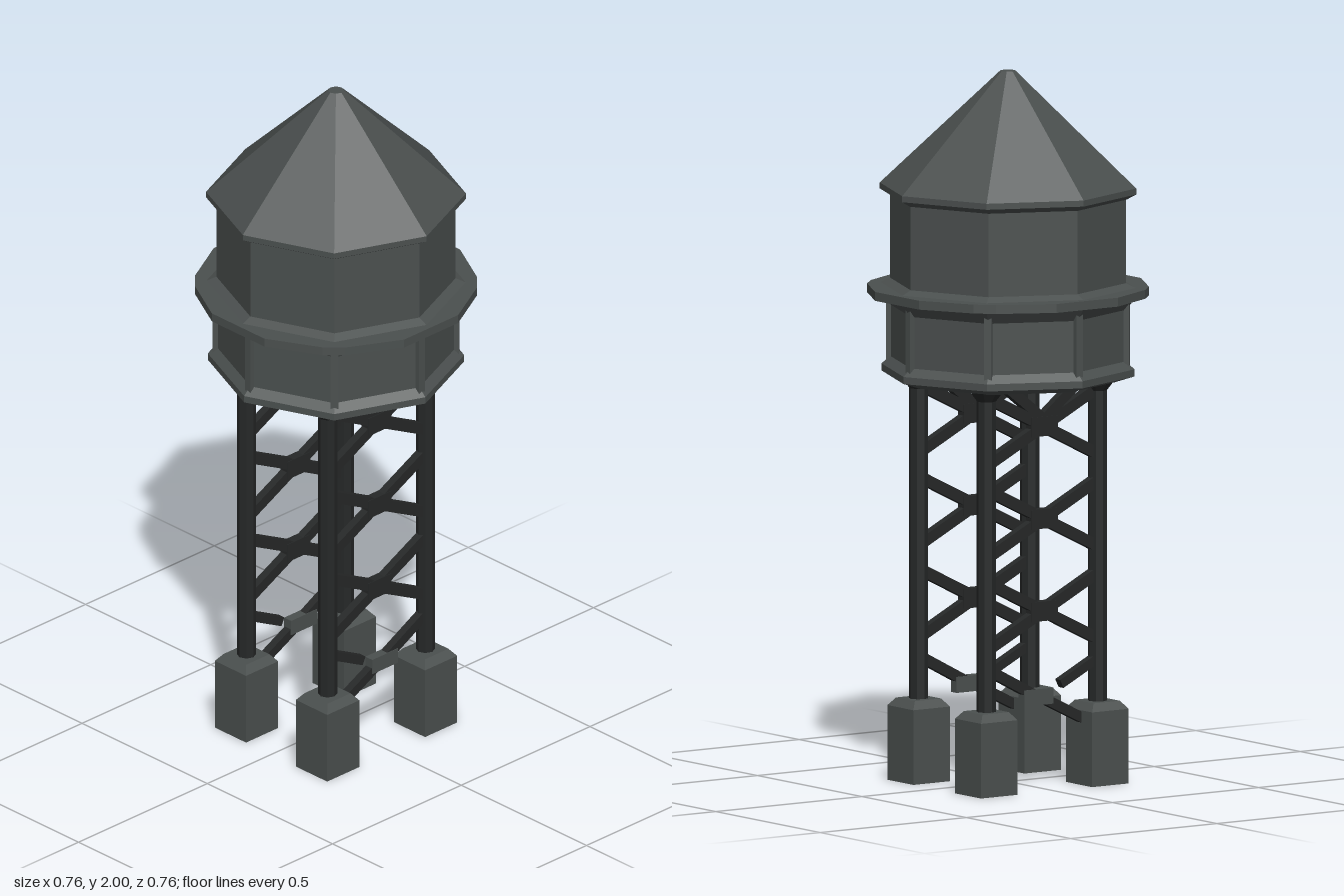
import * as THREE from 'three';

const paint = (color) => new THREE.MeshStandardMaterial({ color, flatShading: true });
const tankPaint = paint(0x4b504f);
const steelPaint = paint(0x262828);

function add(parent, name, geometry, material, x = 0, y = 0, z = 0) {
  const mesh = new THREE.Mesh(geometry, material);
  mesh.name = name;
  mesh.position.set(x, y, z);
  parent.add(mesh);
  return mesh;
}

// Eight-sided solid from [radius, height] pairs, listed bottom to top
const octagon = (profile) =>
  new THREE.LatheGeometry(profile.map(([r, y]) => new THREE.Vector2(r, y)), 8);

// Flat bar between two points of an upright plane at depth z
function bar(parent, name, [x1, y1], [x2, y2], z, width) {
  const length = Math.hypot(x2 - x1, y2 - y1);
  const mesh = add(parent, name, new THREE.BoxGeometry(length, width, 0.024), steelPaint,
    (x1 + x2) / 2, (y1 + y2) / 2, z);
  mesh.rotation.z = Math.atan2(y2 - y1, x2 - x1);
}

function buildTank() {
  const tank = new THREE.Group();
  tank.name = 'tank';

  add(tank, 'roof', octagon([[0, 1.645], [0.335, 1.645], [0.362, 1.66], [0.362, 1.677], [0.022, 2], [0, 2]]), tankPaint);
  add(tank, 'tankWall', octagon([[0, 1.15], [0.333, 1.15], [0.333, 1.655], [0, 1.655]]), tankPaint);
  add(tank, 'basePlate', octagon([[0, 1.13], [0.3, 1.13], [0.357, 1.148], [0.357, 1.168], [0.333, 1.19]]), tankPaint);
  add(tank, 'ringCollar', octagon([[0.333, 1.335], [0.365, 1.375], [0.365, 1.395], [0.333, 1.41]]), tankPaint);

  // Walkway ring: an octagon with cut corners, wider cuts on the four axes
  const outline = [];
  for (let i = 0; i < 4; i++) {
    for (const [x, y] of [[0.38, -0.105], [0.38, 0.105], [0.3, 0.255], [0.255, 0.3]]) {
      outline.push(new THREE.Vector2(x, y).rotateAround(new THREE.Vector2(), i * Math.PI / 2));
    }
  }
  const ring = new THREE.ExtrudeGeometry(new THREE.Shape(outline), { depth: 0.025, bevelEnabled: false });
  ring.rotateX(-Math.PI / 2);
  add(tank, 'walkwayRing', ring, tankPaint, 0, 1.372, 0);

  // Corner posts between base plate and walkway
  for (let i = 0; i < 8; i++) {
    const a = i * Math.PI / 4;
    const post = add(tank, 'cornerPost', new THREE.BoxGeometry(0.022, 0.21, 0.022), tankPaint,
      Math.sin(a) * 0.332, 1.265, Math.cos(a) * 0.332);
    post.rotation.y = a;
  }
  return tank;
}

function buildStand() {
  const stand = new THREE.Group();
  stand.name = 'stand';

  // Legs on chamfered footings
  const topCap = new THREE.CylinderGeometry(0.045 * Math.SQRT2, 0.0625 * Math.SQRT2, 0.022, 4);
  topCap.rotateY(Math.PI / 4);
  for (const x of [-0.19, 0.19]) {
    for (const z of [-0.162, 0.162]) {
      add(stand, 'leg', new THREE.CylinderGeometry(0.027, 0.027, 0.93, 8), steelPaint, x, 0.675, z);
      add(stand, 'footing', new THREE.BoxGeometry(0.125, 0.21, 0.125), tankPaint, x, 0.105, z);
      add(stand, 'footingCap', topCap, tankPaint, x, 0.221, z);
      add(stand, 'legBracket', new THREE.CylinderGeometry(0.05, 0.027, 0.03, 8), steelPaint, x, 1.12, z);
    }
  }

  // Cross bracing on the front and back only
  for (const z of [-0.162, 0.162]) {
    for (const y of [0.5, 0.76, 1.02]) {
      bar(stand, 'crossBrace', [-0.18, y - 0.09], [0.18, y + 0.09], z, 0.032);
      bar(stand, 'crossBrace', [-0.18, y + 0.09], [0.18, y - 0.09], z, 0.032);
      add(stand, 'bracePlate', new THREE.BoxGeometry(0.09, 0.055, 0.028), steelPaint, 0, y, z);
    }
    // Broken lowest brace
    bar(stand, 'lowBrace', [-0.14, 0.185], [0.01, 0.26], z, 0.028);
    bar(stand, 'lowBrace', [0.01, 0.255], [0.18, 0.345], z, 0.03);
    bar(stand, 'braceStub', [-0.18, 0.35], [-0.06, 0.29], z, 0.026);
    add(stand, 'lowBracePlate', new THREE.BoxGeometry(0.1, 0.045, 0.028), tankPaint, 0.02, 0.26, z);
    // Braces tucked under the tank
    bar(stand, 'topBrace', [-0.12, 1.135], [0, 1.04], z, 0.03);
    bar(stand, 'topBrace', [0.12, 1.135], [0, 1.04], z, 0.03);
  }
  return stand;
}

export function createModel() {
  const tower = new THREE.Group();
  tower.name = 'waterTower';
  tower.add(buildTank(), buildStand());
  return tower;
}
